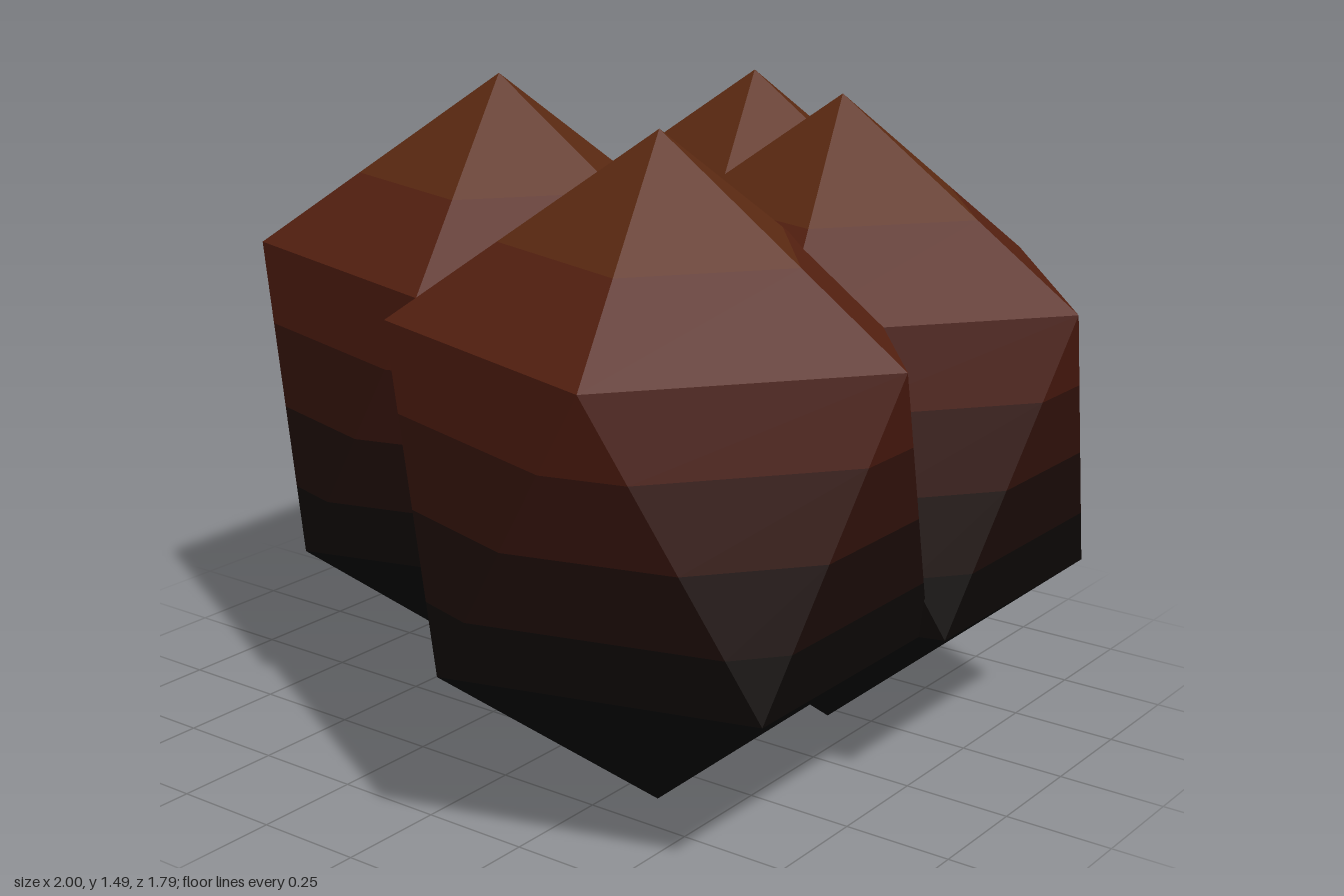
import * as THREE from 'three';

// Stretched low-poly crystal: five-sided point, twisted belt, five-sided point
const HEIGHT = 1.49, LOW = 0.413, HIGH = 1.078;
const RX = 0.6, RZ = 0.531;

const corner = (deg) => {
  const a = THREE.MathUtils.degToRad(deg);
  return new THREE.Vector3(RX * Math.cos(a), 0, RZ * Math.sin(a));
};

// Ten-point cross-section at height y (points merge in pairs on the caps)
function section(y) {
  const t = THREE.MathUtils.clamp((y - LOW) / (HIGH - LOW), 0, 1);
  const s = Math.min(1, y / LOW, (HEIGHT - y) / (HEIGHT - HIGH));
  const points = [];
  for (let i = 0; i < 5; i++) {
    for (const side of [-36, 36]) {
      const p = corner(72 * i + side).lerp(corner(72 * i), t).multiplyScalar(s);
      points.push(p.setY(y));
    }
  }
  return points;
}

// Faceted slice between two heights
function slice(y0, y1) {
  const lower = section(y0), upper = section(y1), pos = [];
  const tri = (a, b, c) => {
    const area = b.clone().sub(a).cross(c.clone().sub(a)).length();
    if (area > 1e-6) for (const p of [a, b, c]) pos.push(p.x, p.y, p.z);
  };
  for (let i = 0; i < 10; i++) {
    const j = (i + 1) % 10;
    tri(lower[i], upper[i], lower[j]);
    tri(lower[j], upper[i], upper[j]);
  }
  const geometry = new THREE.BufferGeometry();
  geometry.setAttribute('position', new THREE.Float32BufferAttribute(pos, 3));
  geometry.computeVertexNormals();
  return geometry;
}

export function createModel() {
  const model = new THREE.Group();
  model.name = 'foliageCluster';

  // Colour bands from the dark base to the brown tip
  const bands = [
    ['base', 0, LOW, 0x060606],
    ['lowerBelt', LOW, 0.55, 0x0d0806],
    ['middleBelt', 0.55, 0.72, 0x1b0c08],
    ['upperBelt', 0.72, 0.9, 0x32120b],
    ['shoulder', 0.9, HIGH, 0x48190e],
    ['crown', HIGH, 1.25, 0x552010],
    ['tip', 1.25, HEIGHT, 0x5c2a12],
  ].map(([name, y0, y1, color]) => ({
    name,
    geometry: slice(y0, y1),
    material: new THREE.MeshStandardMaterial({ color, flatShading: true }),
  }));

  // Four identical overlapping clumps
  const clumps = [
    ['leftClump', 0.4, -0.215],
    ['rightClump', -0.4, 0.015],
    ['frontClump', 0.345, 0.388],
    ['backClump', 0.045, -0.388],
  ];
  for (const [name, x, z] of clumps) {
    const clump = new THREE.Group();
    clump.name = name;
    clump.position.set(x, 0, z);
    for (const band of bands) {
      const mesh = new THREE.Mesh(band.geometry, band.material);
      mesh.name = band.name;
      clump.add(mesh);
    }
    model.add(clump);
  }
  return model;
}
